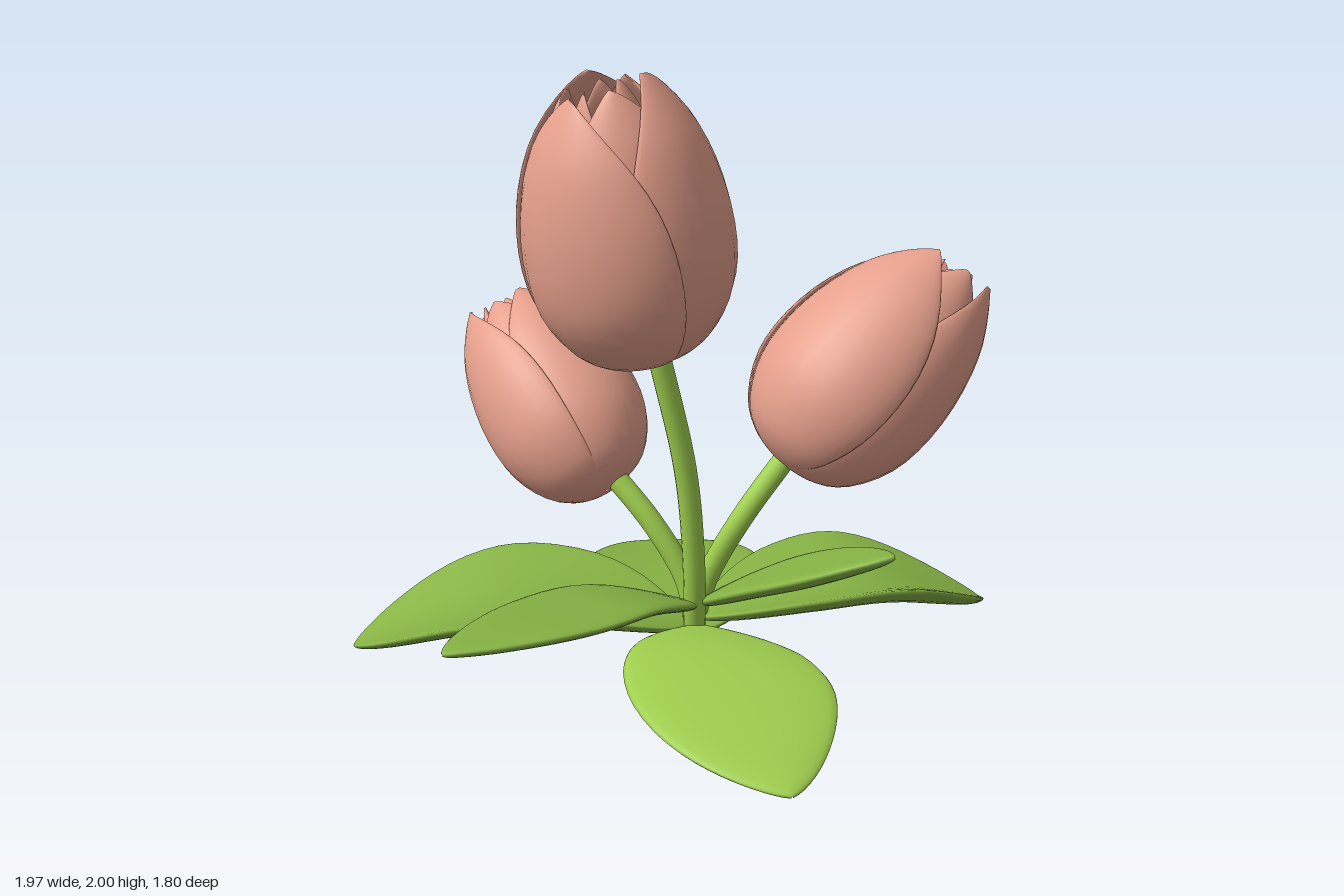
import * as THREE from 'three';

const V = (p) => new THREE.Vector3(...p);

// Closed skin over a list of equal-length rings of points, wound outwards
function loft(rings) {
  const n = rings[0].length, pts = rings.flat(), index = [];
  for (let i = 0; i < rings.length - 1; i++) {
    for (let j = 0; j < n; j++) {
      const a = i * n + j, b = i * n + (j + 1) % n;
      index.push(a, b, a + n, b, b + n, a + n);
    }
  }
  let volume = 0;
  const c = new THREE.Vector3();
  for (let k = 0; k < index.length; k += 3) {
    volume += pts[index[k]].dot(c.crossVectors(pts[index[k + 1]], pts[index[k + 2]]));
  }
  if (volume < 0) index.reverse();
  const g = new THREE.BufferGeometry().setFromPoints(pts);
  g.setIndex(index);
  g.computeVertexNormals();
  return g;
}

// Steps from 0 to 1, closer together near both ends
const steps = (n) => Array.from({ length: n + 1 }, (_, i) =>
  THREE.MathUtils.clamp(0.5 - 0.5 * Math.cos(Math.PI * i / n), 0.0005, 0.9995));

// Cupped leaf along a midrib, slimmer towards the tip
function leafGeometry({ path, side, width, cup }) {
  const curve = new THREE.CatmullRomCurve3(path.map(V));
  const N = 28;
  return loft(steps(30).map((t) => {
    const c = curve.getPointAt(t), tan = curve.getTangentAt(t);
    const s = V(side).addScaledVector(tan, -V(side).dot(tan)).normalize();
    const up = new THREE.Vector3().crossVectors(s, tan).normalize();
    if (up.y < 0) up.negate();
    const f = Math.pow(Math.sin(Math.PI * t), t < 0.5 ? 0.65 : 0.72);
    return Array.from({ length: N }, (_, j) => {
      const a = j / N * Math.PI * 2, u = Math.cos(a);
      const lift = cup * u * u * f + 0.031 * Math.sin(a) * Math.sqrt(f);
      return c.clone().addScaledVector(s, u * width * f).addScaledVector(up, lift);
    });
  }));
}

// Half outline of the bloom: x = radius, y = height, both relative
const outline = new THREE.SplineCurve([
  [0.02, 0], [0.36, 0.025], [0.68, 0.1], [0.92, 0.24], [1, 0.4], [0.95, 0.6], [0.76, 0.81], [0.42, 1],
].map((p) => new THREE.Vector2(...p)));

// One petal wrapped round the +y axis, its middle facing +x
function petalGeometry(radius, length, spread) {
  const N = 36;
  return loft(steps(30).map((t) => {
    const p = outline.getPoint(t);
    const h = Math.min(p.y, 0.9999);
    const half = spread * Math.pow(1 - Math.pow(h, 5), 0.68);
    const thick = 0.019 * Math.min(1, p.x * 2) * Math.sqrt(1 - Math.pow(h, 8));
    return Array.from({ length: N }, (_, j) => {
      const a = j / N * Math.PI * 2, u = Math.cos(a);
      const r = radius * p.x * (1 - 0.055 * u) + thick * Math.sin(a);
      return new THREE.Vector3(r * Math.cos(u * half), h * length, r * Math.sin(u * half));
    });
  }));
}

// Three nested whorls of three petals
function createBloom({ base, tip, facing, radius }, material) {
  const bloom = new THREE.Group();
  bloom.name = 'bloom';
  const axis = V(tip).sub(V(base)), length = axis.length();
  axis.normalize();
  const x = V(facing).addScaledVector(axis, -V(facing).dot(axis)).normalize();
  const z = new THREE.Vector3().crossVectors(x, axis);
  bloom.quaternion.setFromRotationMatrix(new THREE.Matrix4().makeBasis(x, axis, z));
  bloom.position.copy(V(base));
  const whorls = [
    { name: 'outerPetal', scale: 1, turn: 0, tall: 1, spread: 1.28 },
    { name: 'innerPetal', scale: 0.82, turn: Math.PI / 3, tall: 0.97, spread: 1.2 },
    { name: 'corePetal', scale: 0.46, turn: 0.25, tall: 0.94, spread: 1.2 },
  ];
  for (const w of whorls) {
    for (let i = 0; i < 3; i++) {
      const tall = length * (w.tall - (i ? 0.025 : 0));
      const petal = new THREE.Mesh(petalGeometry(radius * w.scale, tall, w.spread), material);
      petal.name = w.name;
      petal.rotation.y = -(w.turn + i * Math.PI * 2 / 3);
      petal.position.y = (1 - w.scale) * 0.08;
      bloom.add(petal);
    }
  }
  return bloom;
}

const flowers = [
  { name: 'tallFlower', base: [-0.07, 1.13, 0.16], tip: [-0.19, 1.985, 0.235], facing: [1, 0, 0.18], radius: 0.288,
    stem: [[0.07, 0.18, 0.03], [0.07, 0.4, 0.075], [0.045, 0.75, 0.12], [-0.04, 1.18, 0.17]] },
  { name: 'leftFlower', base: [0.32, 0.71, -0.055], tip: [0.86, 1.265, -0.29], facing: [0.5, -0.6, 0.45], radius: 0.268,
    stem: [[0.07, 0.18, -0.06], [0.11, 0.32, -0.06], [0.21, 0.53, -0.03], [0.36, 0.75, -0.06]] },
  { name: 'rightFlower', base: [-0.2, 0.59, -0.09], tip: [-0.56, 1.05, -0.485], facing: [-0.7, -0.2, 0.5], radius: 0.226,
    stem: [[0.07, 0.18, -0.03], [0.04, 0.32, -0.04], [-0.06, 0.49, -0.07], [-0.21, 0.66, -0.13]] },
];

const leaves = [
  { name: 'backLeaf', path: [[0.08, 0.14, -0.02], [0.05, 0.12, -0.28], [-0.02, 0.1, -0.53], [-0.18, 0.01, -0.9]],
    side: [1, 0, -0.2], width: 0.28, cup: 0.035 },
  { name: 'leftLeaf', path: [[0.09, 0.18, -0.05], [0.38, 0.21, -0.15], [0.62, 0.21, -0.23], [0.98, 0.08, -0.4]],
    side: [0.3, 0.14, 0.93], width: 0.32, cup: 0.08 },
  { name: 'frontLeftLeaf', path: [[0.09, 0.26, 0], [0.29, 0.4, 0.14], [0.45, 0.5, 0.26], [0.65, 0.62, 0.4]],
    side: [0.5, 0, -0.7], width: 0.155, cup: 0.02 },
  { name: 'frontLeaf', path: [[0.08, 0.19, 0.03], [0.14, 0.235, 0.3], [0.21, 0.215, 0.55], [0.36, 0.13, 0.9]],
    side: [1, -0.12, -0.2], width: 0.31, cup: 0, bright: true },
  { name: 'frontRightLeaf', path: [[0.07, 0.26, 0.02], [-0.14, 0.37, 0.23], [-0.32, 0.425, 0.46], [-0.61, 0.48, 0.76]],
    side: [0.7, 0.13, 0.7], width: 0.19, cup: 0.02 },
  { name: 'rightLeaf', path: [[0.05, 0.17, 0], [-0.28, 0.22, -0.03], [-0.58, 0.215, -0.01], [-0.985, 0.09, 0]],
    side: [0, 0.03, 1], width: 0.295, cup: 0.08 },
];

export function createModel() {
  const model = new THREE.Group();
  model.name = 'flowerPlant';
  const paint = (name, color) => Object.assign(new THREE.MeshStandardMaterial({ color }), { name });
  const petalPink = paint('petalPink', 0xe6a08c);
  const leafGreen = paint('leafGreen', 0x87b445);
  const brightGreen = paint('brightGreen', 0xa2d250);

  for (const f of flowers) {
    const flower = new THREE.Group();
    flower.name = f.name;
    const curve = new THREE.CatmullRomCurve3(f.stem.map(V));
    const stem = new THREE.Mesh(new THREE.TubeGeometry(curve, 24, 0.034, 14), brightGreen);
    stem.name = 'stem';
    flower.add(stem, createBloom(f, petalPink));
    model.add(flower);
  }

  for (const l of leaves) {
    const leaf = new THREE.Mesh(leafGeometry(l), l.bright ? brightGreen : leafGreen);
    leaf.name = l.name;
    model.add(leaf);
  }
  return model;
}
